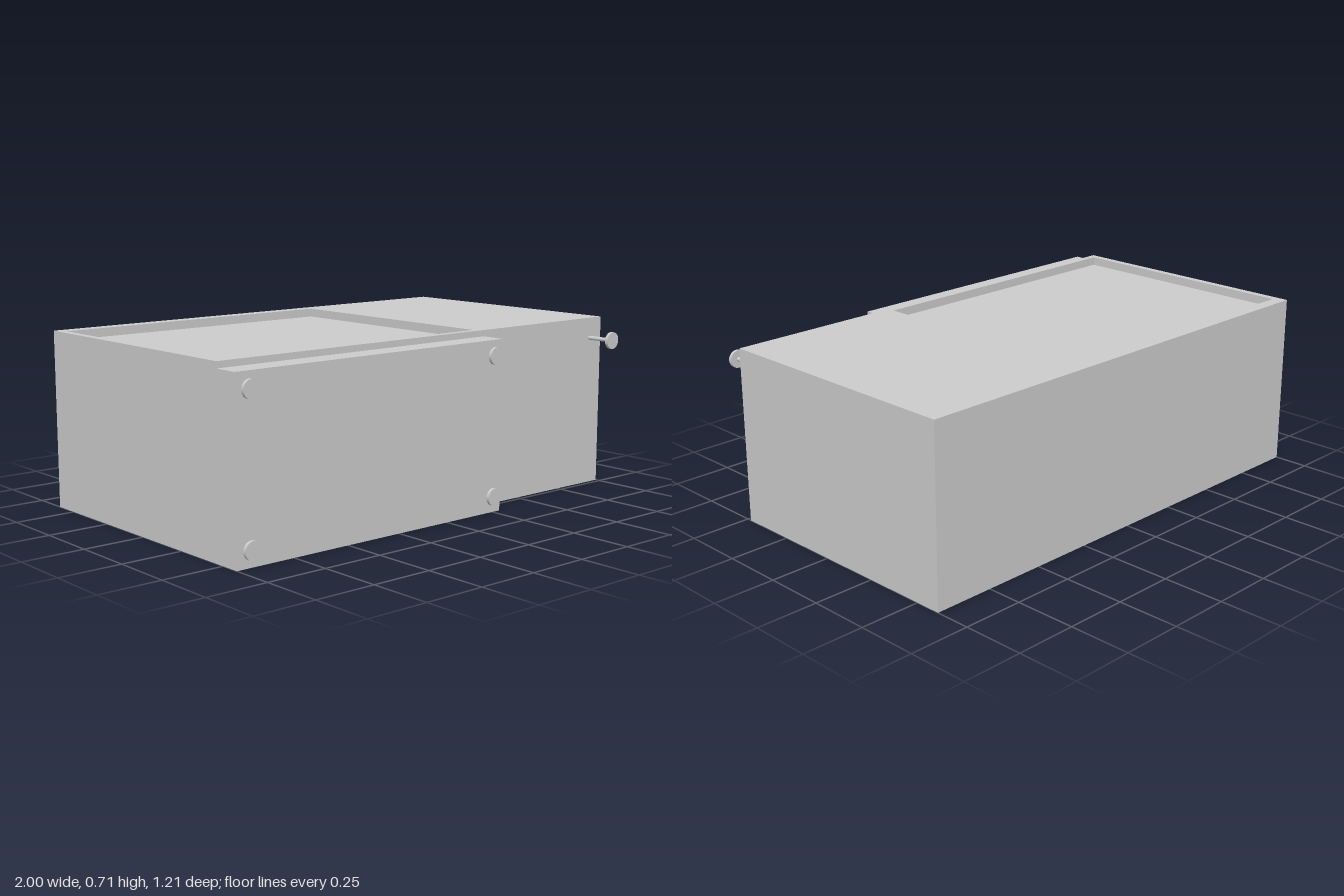
import * as THREE from 'three';

const material = new THREE.MeshStandardMaterial({ color: 0xcccccc });

function add(parent, name, geometry, x = 0, y = 0, z = 0) {
  const mesh = new THREE.Mesh(geometry, material);
  mesh.name = name;
  mesh.position.set(x, y, z);
  parent.add(mesh);
  return mesh;
}

// Box given by its minimum and maximum corners
function addBox(parent, name, [x0, y0, z0], [x1, y1, z1]) {
  const geometry = new THREE.BoxGeometry(x1 - x0, y1 - y0, z1 - z0);
  return add(parent, name, geometry, (x0 + x1) / 2, (y0 + y1) / 2, (z0 + z1) / 2);
}

// Closed rectangular outline
function rectangle(PathType, x0, y0, x1, y1) {
  return new PathType([[x0, y0], [x1, y0], [x1, y1], [x0, y1]].map(p => new THREE.Vector2(...p)));
}

// Round knob on a thin stem that starts at zBase
function addKnob(parent, x, y, zBase) {
  const knob = new THREE.Group();
  knob.name = 'knob';
  const face = 0.606, thickness = 0.013, back = face - thickness;
  const stem = new THREE.CylinderGeometry(0.0085, 0.0085, back - zBase, 24).rotateX(Math.PI / 2);
  const disc = new THREE.CylinderGeometry(0.035, 0.035, thickness, 40).rotateX(Math.PI / 2);
  add(knob, 'knobStem', stem, x, y, (back + zBase) / 2);
  add(knob, 'knobDisc', disc, x, y, face - thickness / 2);
  parent.add(knob);
}

export function createModel() {
  const model = new THREE.Group();
  model.name = 'cabinet';
  const top = 0.71, floor = 0.675, back = -0.606, front = 0.48, panelFront = 0.58;

  // Main body up to the floor of the shallow tray
  addBox(model, 'body', [-1, 0, back], [1, floor, front]);

  // Top slab with the rectangular tray opening
  const slab = rectangle(THREE.Shape, -1, -front, 1, -back);
  slab.holes.push(rectangle(THREE.Path, -0.97, -0.45, 0.26, 0.555));
  const slabGeometry = new THREE.ExtrudeGeometry(slab, { depth: top - floor, bevelEnabled: false });
  add(model, 'trayRim', slabGeometry.rotateX(-Math.PI / 2), 0, floor, 0);

  // Raised front panel
  addBox(model, 'frontPanel', [-1, 0, front], [0.29, 0.685, panelFront]);

  // Four knobs on the panel corners and one long-stemmed knob on the body
  for (const x of [-0.947, 0.237]) {
    for (const y of [0.067, 0.625]) addKnob(model, x, y, panelFront);
  }
  addKnob(model, 0.93, 0.625, front);

  return model;
}
